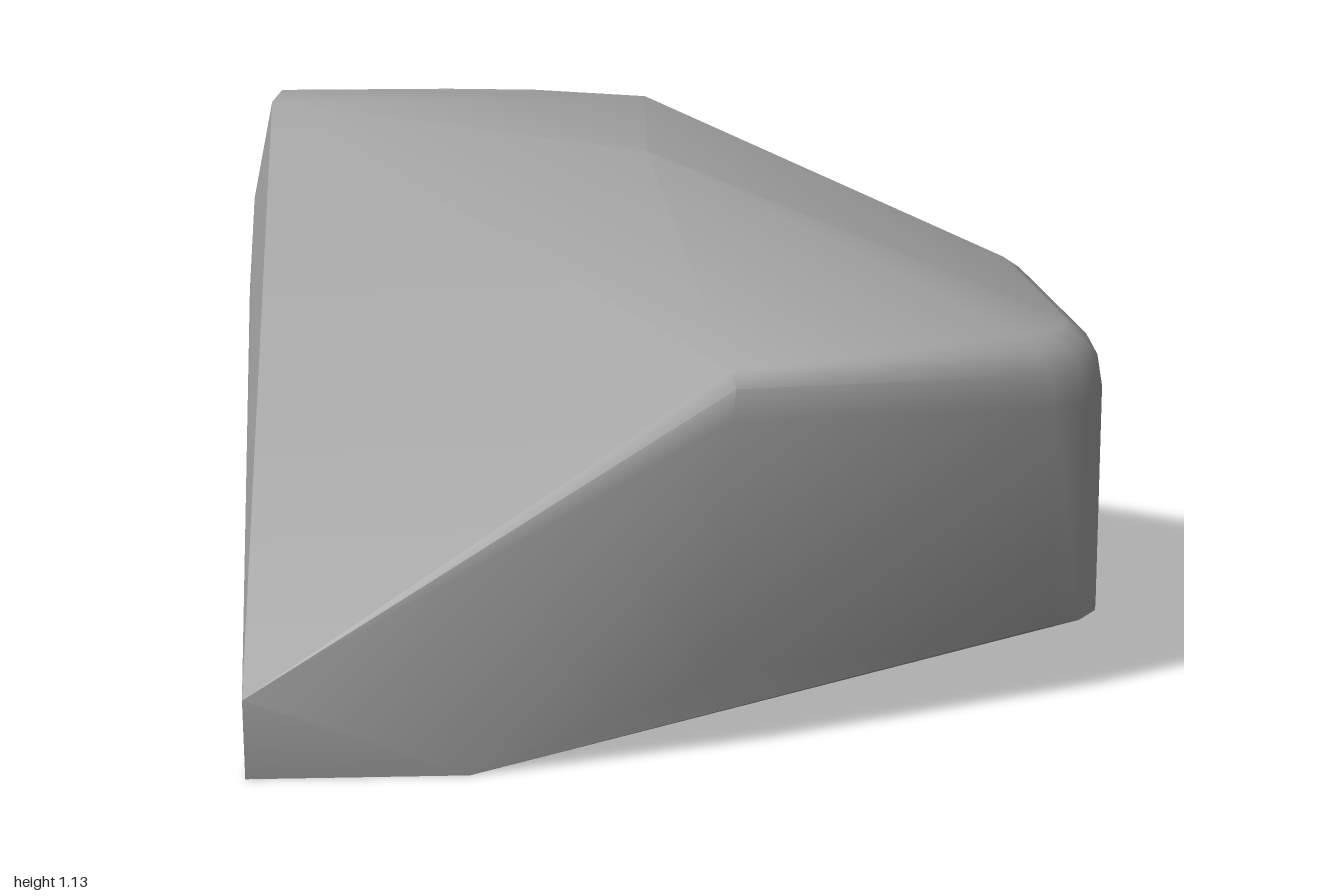
import * as THREE from 'three';
import { ConvexGeometry } from 'three/addons/geometries/ConvexGeometry.js';

const v = (x, y, z) => new THREE.Vector3(x, y, z);

// Area-weighted normals, smooth only across edges softer than the crease angle
function softenNormals(geometry, creaseDegrees) {
  const pos = geometry.attributes.position;
  const limit = Math.cos(THREE.MathUtils.degToRad(creaseDegrees));
  const corners = new Map();
  const key = i => [pos.getX(i), pos.getY(i), pos.getZ(i)].map(n => n.toFixed(4)).join();
  const faces = [];
  for (let i = 0; i < pos.count; i += 3) {
    const [a, b, c] = [0, 1, 2].map(k => v().fromBufferAttribute(pos, i + k));
    const area = b.sub(a).cross(c.sub(a));
    const face = { area, unit: area.clone().normalize() };
    faces.push(face);
    for (let k = 0; k < 3; k++) {
      const id = key(i + k);
      if (!corners.has(id)) corners.set(id, []);
      corners.get(id).push(face);
    }
  }
  const normals = [];
  for (let i = 0; i < pos.count; i++) {
    const own = faces[Math.floor(i / 3)];
    const sum = v(0, 0, 0);
    for (const f of corners.get(key(i))) if (f.unit.dot(own.unit) > limit) sum.add(f.area);
    normals.push(...sum.normalize().toArray());
  }
  geometry.setAttribute('normal', new THREE.Float32BufferAttribute(normals, 3));
}

export function createModel() {
  const stone = new THREE.MeshStandardMaterial({ color: 0xa0a0a0 });
  stone.name = 'grey stone';

  const points = [
    // flat underside
    v(-0.81, 0, 0.96), v(-0.36, 0, 0.94), v(0.21, 0, -0.84), v(-0.36, 0, -0.97), v(-0.81, 0, -0.94),
    // front tip and broken left side
    v(-0.81, 0.17, 0.97), v(-1, 0.85, -0.95), v(-1, 0.43, -0.95), v(-1, 0.64, -0.8),
    // top plateau
    v(-0.92, 1.13, -0.72), v(-0.92, 1.13, -0.94), v(0, 1.105, -0.1), v(0, 1.13, -0.82), v(-0.02, 1.09, -0.88),
    // rounded back edge
    v(-0.5, 1.13, -0.96), v(-0.52, 1.08, -0.975), v(-0.28, 1.13, -0.94), v(-0.26, 1.08, -0.97), v(-0.15, 1.1, -0.93),
    v(-0.25, 0.3, -0.975), v(-0.52, 0.3, -0.975),
    // front ridge with its worn edge
    v(0.17, 0.77, 0.66), v(0.18, 0.74, 0.695), v(0.17, 0.68, 0.72), v(0.13, 0.16, 0.79),
  ];

  // rounded right-hand corners: plan outline drawn in towards the top
  const plan = [[0.87, 0.45], [0.94, 0.41], [0.985, 0.34], [1, 0.25], [0.945, -0.53], [0.92, -0.6], [0.84, -0.65]];
  const rings = [[0.155, 0], [0.64, 0.003], [0.71, 0.015], [0.755, 0.04], [0.785, 0.085]];
  for (const [y, inset] of rings) {
    for (const [x, z] of plan) {
      const k = 1 - inset;
      points.push(v(x * k, y, -0.1 + (z + 0.1) * k));
    }
  }

  const geometry = new ConvexGeometry(points);
  softenNormals(geometry, 42);
  const rock = new THREE.Mesh(geometry, stone);
  rock.name = 'rock';

  const group = new THREE.Group();
  group.name = 'boulder';
  group.add(rock);
  return group;
}
